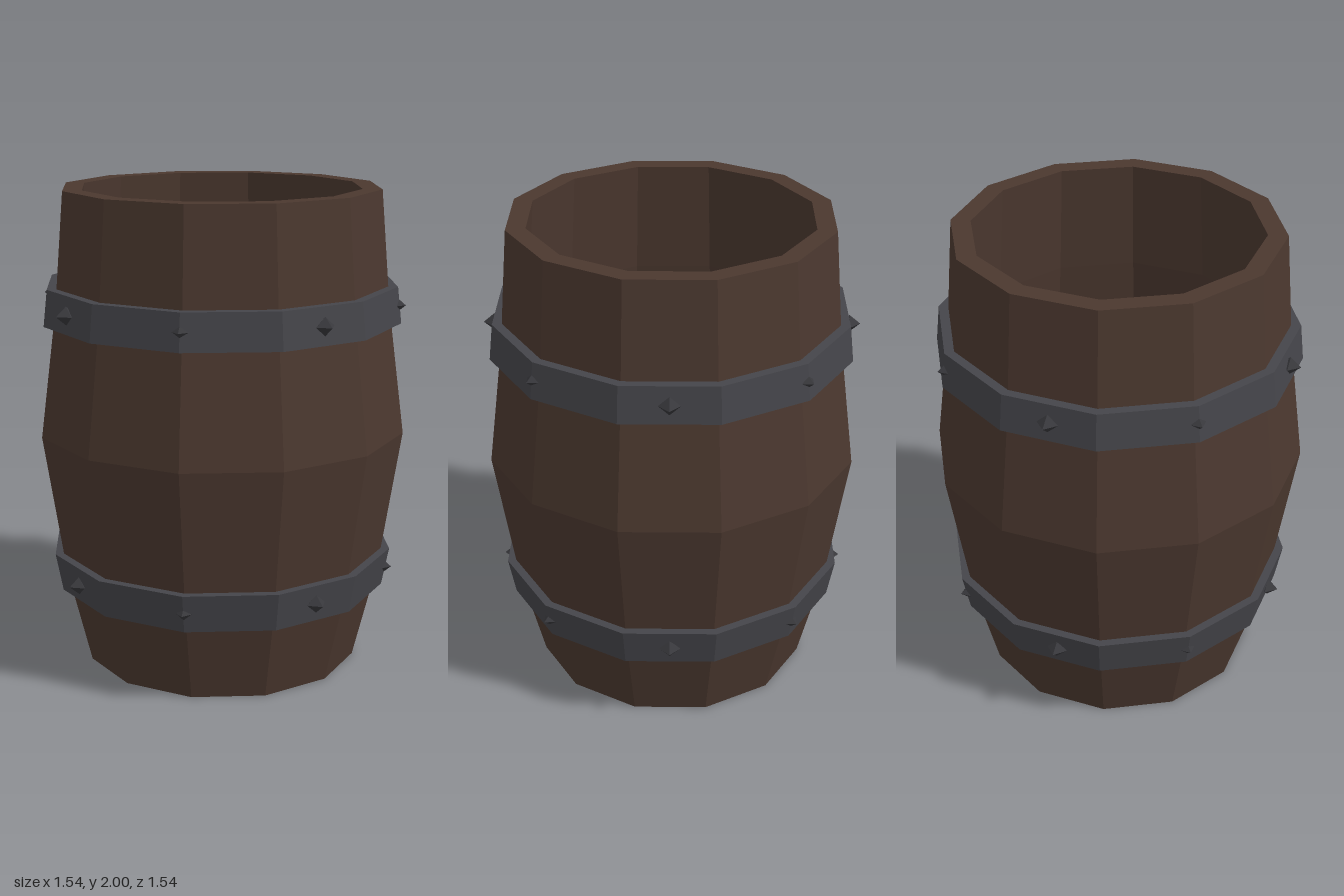
import * as THREE from 'three';

const SIDES = 12;

const wood = new THREE.MeshStandardMaterial({ color: 0x4b382f, flatShading: true });
wood.name = 'dark wood';
const iron = new THREE.MeshStandardMaterial({ color: 0x45454a, flatShading: true });
iron.name = 'dark iron';
const studIron = new THREE.MeshStandardMaterial({ color: 0x38383c, flatShading: true });
studIron.name = 'stud iron';

// Twelve-sided turned shape from [radius, height] pairs
function turned(name, profile, material) {
  const points = profile.map(([r, y]) => new THREE.Vector2(r, y));
  const mesh = new THREE.Mesh(new THREE.LatheGeometry(points, SIDES), material);
  mesh.name = name;
  return mesh;
}

// Iron band with a ring of eight pointed studs
function hoop(name, yLow, yHigh, rLow, rHigh) {
  const group = new THREE.Group();
  group.name = name;
  const t = 0.045;
  group.add(turned(name + 'Band', [
    [rLow - t, yLow], [rLow, yLow], [rHigh, yHigh], [rHigh - t, yHigh], [rLow - t, yLow],
  ], iron));

  const studGeometry = new THREE.OctahedronGeometry(1);
  studGeometry.scale(0.043, 0.038, 0.045);
  const r = (rLow + rHigh) / 2 - 0.02;
  for (let i = 0; i < 8; i++) {
    const a = (i / 8) * Math.PI * 2;
    const stud = new THREE.Mesh(studGeometry, studIron);
    stud.name = name + 'Stud';
    stud.position.set(Math.sin(a) * r, (yLow + yHigh) / 2, Math.cos(a) * r);
    stud.rotation.y = a;
    group.add(stud);
  }
  return group;
}

export function createModel() {
  const barrel = new THREE.Group();
  barrel.name = 'barrel';

  // Open body: base, outer staves, rim, inner staves, inner floor
  barrel.add(turned('body', [
    [0, 0], [0.58, 0], [0.68, 0.41], [0.77, 1], [0.7, 1.53], [0.66, 2],
    [0.58, 2], [0.62, 1.53], [0.69, 1], [0.6, 0.41], [0.51, 0.07], [0, 0.07],
  ], wood));

  barrel.add(hoop('upperHoop', 1.46, 1.61, 0.75, 0.733));
  barrel.add(hoop('lowerHoop', 0.33, 0.49, 0.698, 0.728));
  return barrel;
}
